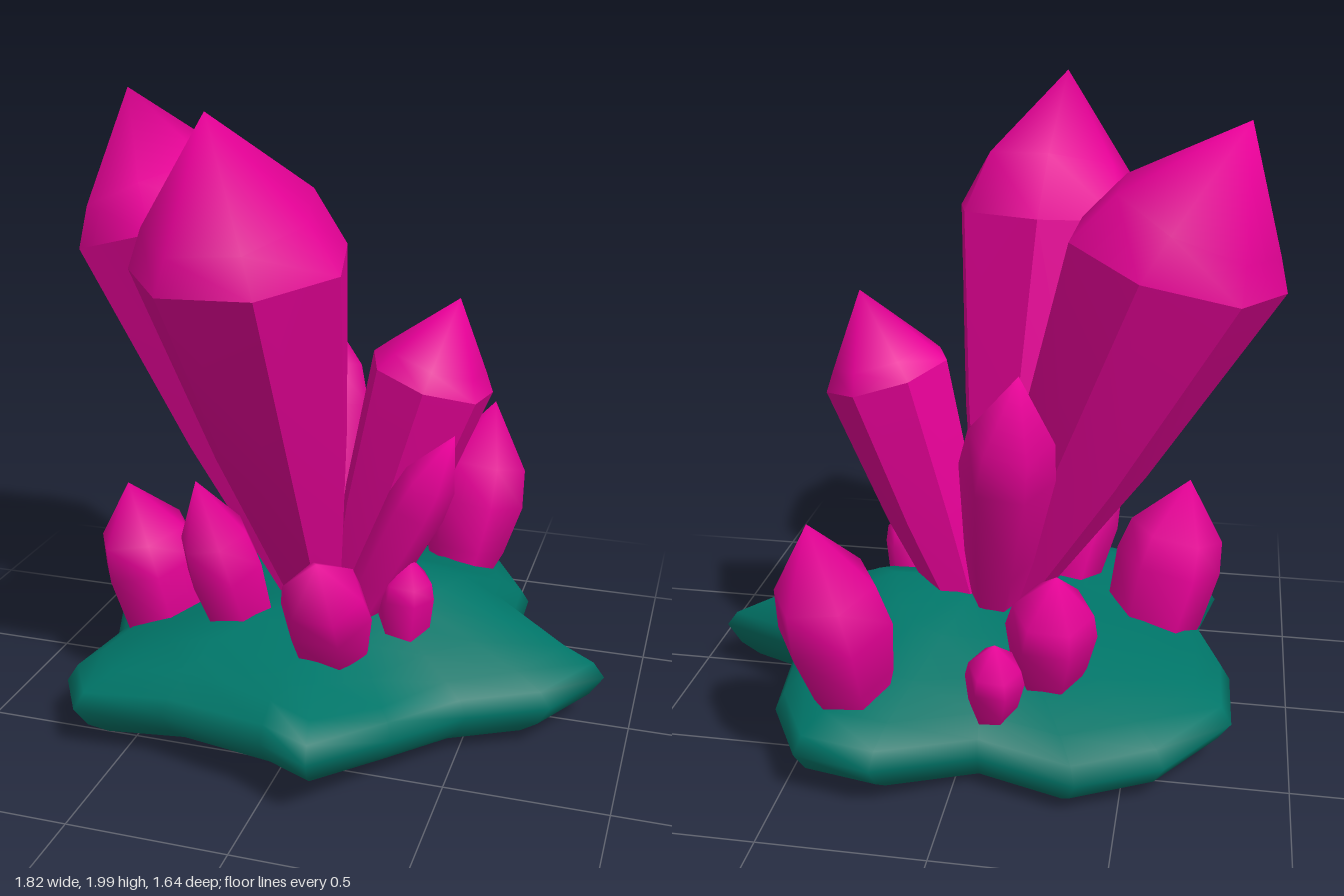
import * as THREE from 'three';
import { toCreasedNormals, mergeGeometries } from 'three/addons/utils/BufferGeometryUtils.js';

const UP = new THREE.Vector3(0, 1, 0);

// Tapered crystal, open at the buried foot: shaft from base to its widest point
// (centre), then a bevelled cap up to tip, which may sit off the shaft's axis.
// drop lowers the shoulder on the side facing away from the lean.
function makeCrystal({ name, base, centre, tip, r, foot, spin, drop = 0, small = false }, material) {
  const from = new THREE.Vector3(...base);
  const axis = new THREE.Vector3(...centre).sub(from);
  const widest = axis.length();
  axis.normalize();
  const turn = new THREE.Quaternion().setFromUnitVectors(UP, axis);
  const apex = new THREE.Vector3(...tip).sub(from).applyQuaternion(turn.clone().invert());
  const lean = new THREE.Vector2(axis.x, axis.z).normalize();
  const sides = small ? 6 : 7;
  const [bevelRise, bevelRadius] = small ? [0.38, 0.88] : [0.22, 0.79];

  const lathe = (profile, crease) => {
    const points = profile.map(([x, y]) => new THREE.Vector2(x, y));
    const geometry = new THREE.LatheGeometry(points, sides, spin ?? Math.PI / sides);
    const p = geometry.attributes.position;
    for (let i = 0; i < p.count; i++) {
      const x = p.getX(i), y = p.getY(i), z = p.getZ(i);
      const f = Math.max(0, (y - widest) / (apex.y - widest));
      const away = (1 - (x * lean.x + z * lean.y) / r) / 2;
      const lower = Math.abs(y - widest) < 1e-4 ? drop * r * away : 0;
      p.setXYZ(i, x + apex.x * f, y - lower, z + apex.z * f);
    }
    return toCreasedNormals(geometry, crease);
  };

  const shaft = [[foot, 0], [(foot + r) / 2 * 1.12, widest / 2], [r, widest]];
  const cap = [[r, widest], [r * bevelRadius, widest + bevelRise * (apex.y - widest)], [0, apex.y]];
  const geometry = small
    ? lathe([...shaft, ...cap.slice(1)], Math.PI)
    : mergeGeometries([lathe(shaft, 0.6), lathe(cap, Math.PI)]);
  const mesh = new THREE.Mesh(geometry, material);
  mesh.name = name;
  mesh.position.copy(from);
  mesh.quaternion.copy(turn);
  return mesh;
}

// Lumpy slab: a jagged outline scaled into rings, over the top, round the rim
// and back up into the hollow underside.
function makeRock(material) {
  // x, z, lift of the rim
  const outline = [
    [0.17, 0.82, 0.06], [0.35, 0.56, 0.02], [0.53, 0.33, 0], [0.77, 0.2, 0], [0.91, -0.03, 0.01],
    [0.6, -0.22, 0.05], [0.58, -0.53, 0], [0.45, -0.77, 0], [0.21, -0.82, 0], [-0.08, -0.65, -0.03],
    [-0.38, -0.75, -0.03], [-0.63, -0.63, -0.02], [-0.82, -0.38, 0], [-0.81, -0.1, 0], [-0.7, 0.2, 0.01],
    [-0.75, 0.47, 0], [-0.64, 0.65, 0.01], [-0.35, 0.64, 0.03], [0, 0.73, 0.05],
  ];
  // scale, height
  const rings = [
    [0.2, 0.37], [0.45, 0.34], [0.68, 0.295], [0.86, 0.245], [0.96, 0.2], [1, 0.15],
    [0.95, 0.085], [0.88, 0.045], [0.81, 0.03], [0.76, 0.1], [0.62, 0.205], [0.35, 0.27],
  ];
  const bump = (x, z, cx, cz) => Math.exp(-((x - cx) ** 2 + (z - cz) ** 2) / 0.06);
  const n = outline.length;
  const position = [0, 0.385, 0];
  rings.forEach(([s, y], ring) => {
    for (const [ox, oz, lift] of outline) {
      // inner rings lose the jagged outline
      const even = 0.72 / Math.hypot(ox, oz);
      const k = s * THREE.MathUtils.lerp(even, 1, Math.min(1, s * 1.15));
      const x = ox * k, z = oz * k;
      // rises behind the left side and at the front right, a hollow at the front
      const relief = 0.085 * bump(x, z, 0.32, -0.12) + 0.045 * bump(x, z, -0.2, 0.42) - 0.045 * bump(x, z, 0.17, 0.4);
      position.push(x, y + lift * s + (ring < 4 ? relief : 0), z);
    }
  });
  position.push(0, 0.3, 0);

  const index = [];
  const at = (ring, i) => 1 + ring * n + (i % n);
  const last = rings.length - 1;
  for (let i = 0; i < n; i++) {
    index.push(0, at(0, i), at(0, i + 1));
    for (let j = 0; j < last; j++) {
      const a = at(j, i), b = at(j, i + 1), c = at(j + 1, i + 1), d = at(j + 1, i);
      index.push(a, d, c, a, c, b);
    }
    index.push(at(last, i), 1 + rings.length * n, at(last, i + 1));
  }
  const geometry = new THREE.BufferGeometry();
  geometry.setAttribute('position', new THREE.Float32BufferAttribute(position, 3));
  geometry.setIndex(index);
  geometry.computeVertexNormals();
  const mesh = new THREE.Mesh(geometry, material);
  mesh.name = 'rockBase';
  return mesh;
}

export function createModel() {
  const pink = new THREE.MeshStandardMaterial({ color: 0xe80098 });
  pink.name = 'crystal pink';
  const teal = new THREE.MeshStandardMaterial({ color: 0x007568 });
  teal.name = 'rock teal';

  const model = new THREE.Group();
  model.name = 'crystalCluster';
  model.add(makeRock(teal));

  const crystals = new THREE.Group();
  crystals.name = 'crystals';
  model.add(crystals);

  const specs = [
    // main spires
    { name: 'frontSpire', base: [-0.03, 0.22, 0], centre: [-0.145, 1.615, 0.445], tip: [-0.17, 2, 0.6], r: 0.325, foot: 0.06, drop: 0.4 },
    { name: 'sideSpire', base: [-0.02, 0.22, 0.02], centre: [-0.6, 1.58, -0.13], tip: [-0.78, 1.96, -0.25], r: 0.337, foot: 0.06, spin: 0.2, drop: 0.3 },
    { name: 'leftSpire', base: [0.04, 0.22, -0.03], centre: [0.31, 1.12, -0.06], tip: [0.4, 1.38, -0.045], r: 0.205, foot: 0.07, spin: 0.1 },
    // smaller crystals around the spires
    { name: 'backSpire', base: [-0.02, 0.22, -0.04], centre: [-0.11, 0.9, -0.3], tip: [-0.16, 1.24, -0.41], r: 0.15, foot: 0.05 },
    { name: 'thinSpire', base: [0.06, 0.22, 0.1], centre: [0.32, 0.76, 0.16], tip: [0.44, 1.01, 0.175], r: 0.095, foot: 0.045 },
    { name: 'frontCrystal', base: [0.08, 0.17, 0.23], centre: [0.1, 0.48, 0.39], tip: [0.12, 0.71, 0.55], r: 0.145, foot: 0.07 },
    { name: 'frontLeftCrystal', base: [0.27, 0.2, 0.12], centre: [0.29, 0.45, 0.14], tip: [0.3, 0.59, 0.15], r: 0.09, foot: 0.06 },
    { name: 'backLeftCrystal', base: [0.31, 0.16, -0.53], centre: [0.355, 0.5, -0.605], tip: [0.41, 0.85, -0.67], r: 0.178, foot: 0.08 },
    { name: 'farRightCrystal', base: [-0.51, 0.08, 0.09], centre: [-0.59, 0.45, 0.125], tip: [-0.65, 0.73, 0.16], r: 0.175, foot: 0.11 },
    { name: 'frontRightCrystal', base: [-0.21, 0.18, 0.18], centre: [-0.28, 0.52, 0.26], tip: [-0.345, 0.83, 0.32], r: 0.13, foot: 0.07 },
    { name: 'backRightCrystal', base: [-0.25, 0.2, -0.38], centre: [-0.27, 0.46, -0.45], tip: [-0.29, 0.66, -0.5], r: 0.14, foot: 0.07 },
    { name: 'backSmallCrystal', base: [-0.1, 0.16, -0.52], centre: [-0.12, 0.35, -0.58], tip: [-0.125, 0.48, -0.61], r: 0.09, foot: 0.045 },
  ];
  specs.forEach((spec, i) => crystals.add(makeCrystal({ ...spec, small: i > 2 }, pink)));

  return model;
}
